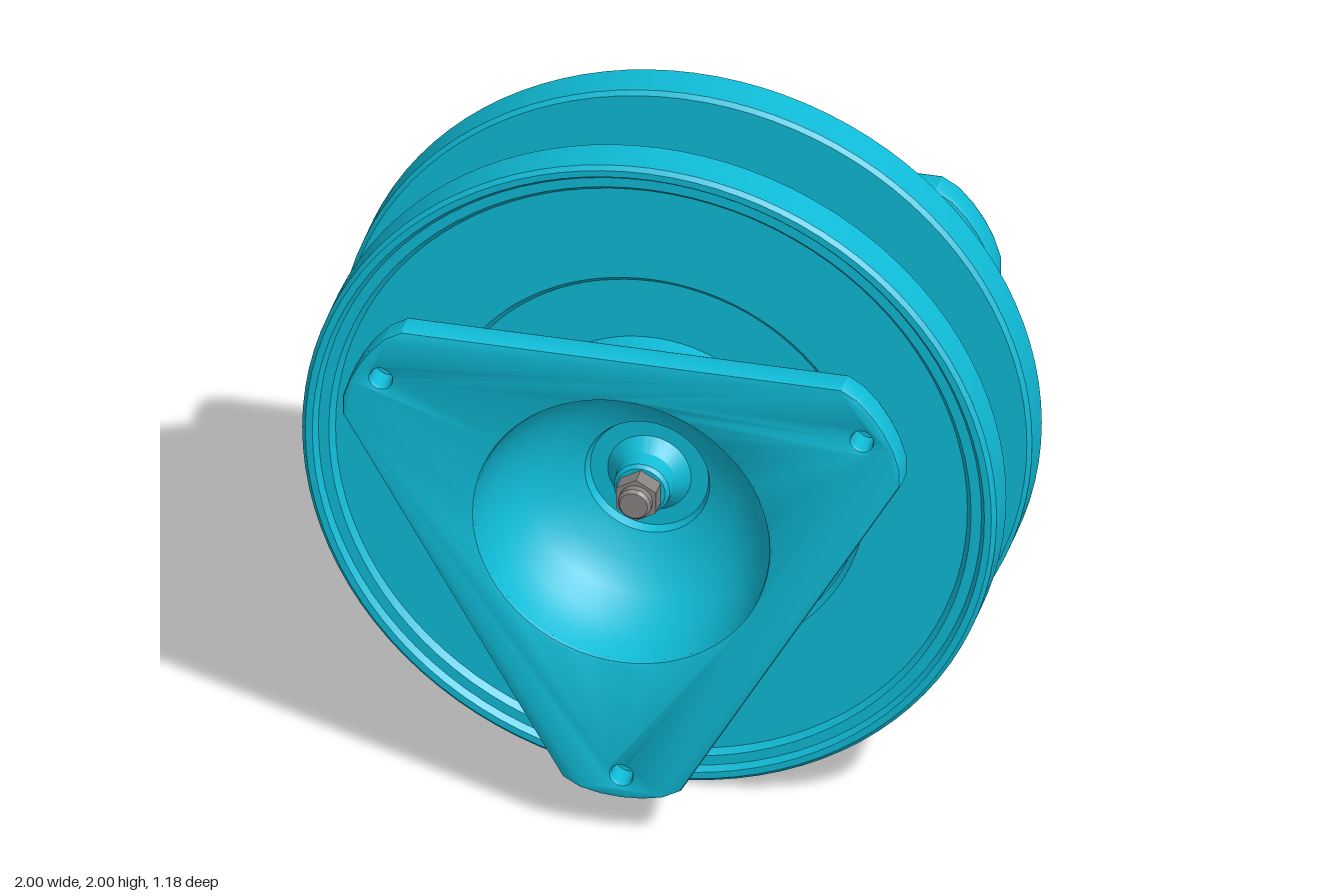
import * as THREE from 'three';
import { toCreasedNormals } from 'three/addons/utils/BufferGeometryUtils.js';

const teal = new THREE.MeshStandardMaterial({ color: 0x0fbcd8 });
teal.name = 'teal plastic';
const steel = new THREE.MeshStandardMaterial({ color: 0x8a8583 });
steel.name = 'grey steel';

function mesh(name, geometry, material) {
  const m = new THREE.Mesh(geometry, material);
  m.name = name;
  return m;
}

// Profile of [radius, z] points turned around the z axis
function turned(points, segments = 96) {
  const g = new THREE.LatheGeometry(points.map(([r, z]) => new THREE.Vector2(r, z)), segments);
  g.rotateX(Math.PI / 2);
  return toCreasedNormals(g, 0.5);
}

// Inner hub, stepped disc, outer hub, bowl and centre collar in one profile
function halfBody() {
  return turned([
    [0, 0.004], [0.38, 0.004], [0.39, 0.013], [0.39, 0.137],
    [0.988, 0.137], [1, 0.149], [1, 0.261], [0.988, 0.273],
    [0.968, 0.273], [0.955, 0.255], [0.925, 0.255], [0.91, 0.237],
    [0.62, 0.237], [0.605, 0.222], [0.42, 0.222], [0.42, 0.55],
    [0.437, 0.59], [0.425, 0.578], [0.415, 0.52], [0.385, 0.44],
    [0.335, 0.37], [0.265, 0.315], [0.18, 0.285], [0.17, 0.26],
    [0.12, 0.26], [0.1, 0.28], [0.085, 0.3], [0.08, 0.35], [0.07, 0.36], [0, 0.36],
  ]);
}

// Three-cornered plate with a large bowl opening and three small holes
function cornerPlate() {
  const corner = [[-0.17, -0.83], [-0.12, -0.858], [-0.06, -0.871], [0, -0.875],
    [0.06, -0.871], [0.12, -0.858], [0.17, -0.83]];
  const outline = [];
  const shape = new THREE.Shape();
  const addHole = (x, y, r) => {
    const hole = new THREE.Path();
    hole.absarc(x, y, r, 0, Math.PI * 2, true);
    shape.holes.push(hole);
  };
  for (let i = 0; i < 3; i++) {
    const turn = (i * Math.PI * 2) / 3;
    for (const [x, y] of corner) {
      outline.push(new THREE.Vector2(x, y).rotateAround(new THREE.Vector2(), turn));
    }
    addHole(Math.sin(turn) * 0.8, -Math.cos(turn) * 0.8, 0.031);
  }
  shape.setFromPoints(outline);
  addHole(0, 0, 0.425);
  const bevel = 0.012;
  const g = new THREE.ExtrudeGeometry(shape, {
    depth: 0.09 - 2 * bevel, bevelThickness: bevel, bevelSize: bevel,
    bevelOffset: -bevel, bevelSegments: 2, curveSegments: 32,
  });
  g.translate(0, 0, 0.5 + bevel);
  return toCreasedNormals(g, 0.4);
}

// Domed screw head with a sunk cross
function screwHead() {
  const r = 0.1;
  const g = new THREE.SphereGeometry(r, 80, 28, 0, Math.PI * 2, 0, Math.PI / 2);
  g.rotateX(Math.PI / 2);
  const p = g.attributes.position;
  for (let i = 0; i < p.count; i++) {
    const a = Math.abs(p.getX(i)), b = Math.abs(p.getY(i));
    if (Math.min(a, b) < 0.014 && Math.max(a, b) < 0.058) p.setZ(i, 0.05);
  }
  g.rotateZ(Math.PI / 8);
  g.translate(0, 0, 0.39);
  return toCreasedNormals(g, 0.5);
}

function half(name) {
  const g = new THREE.Group();
  g.name = name;
  g.add(mesh('discAndHub', halfBody(), teal), mesh('cornerPlate', cornerPlate(), teal));
  return g;
}

export function createModel() {
  const model = new THREE.Group();
  model.name = 'spool';

  // Front half with hexagonal nut and stud end
  const front = half('frontHalf');
  const nut = new THREE.CylinderGeometry(0.066, 0.066, 0.06, 6);
  nut.rotateX(Math.PI / 2);
  nut.translate(0, 0, 0.385);
  front.add(mesh('nut', toCreasedNormals(nut, 0.5), steel));
  front.add(mesh('studEnd', turned([[0.048, 0.36], [0.048, 0.435], [0.04, 0.445], [0, 0.445]], 32), steel));

  // Back half with the screw head
  const back = half('backHalf');
  back.rotation.y = Math.PI;
  back.add(mesh('screwHead', screwHead(), steel));
  back.add(mesh('screwHeadRim', turned([[0, 0.365], [0.09, 0.365], [0.1, 0.375], [0.1, 0.39]], 48), steel));

  // Axle joining the halves
  const axle = new THREE.CylinderGeometry(0.06, 0.06, 0.1, 32);
  axle.rotateX(Math.PI / 2);
  model.add(front, back, mesh('axle', axle, steel));
  for (const part of model.children) part.position.y = 1;
  return model;
}
